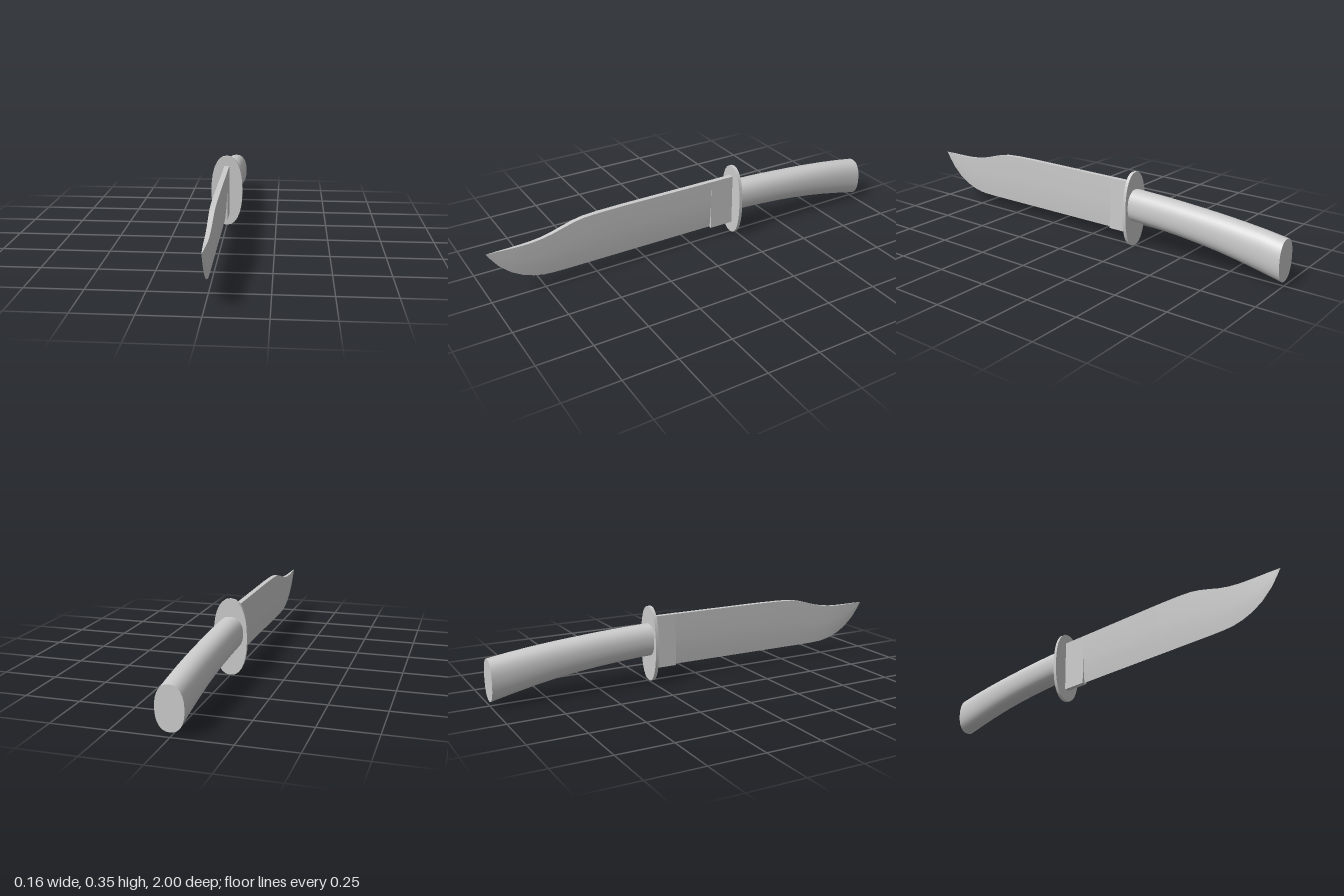
import * as THREE from 'three';
import { toCreasedNormals } from 'three/addons/utils/BufferGeometryUtils.js';

const material = new THREE.MeshStandardMaterial({ color: 0xcccccc });

// Skin rings of [x, y, z] (counter-clockwise seen from +z, ordered by rising z) and cap both ends
function loft(rings, crease) {
  const n = rings[0].length, pos = [], idx = [];
  rings.forEach((ring) => ring.forEach((p) => pos.push(...p)));
  for (let i = 0; i < rings.length - 1; i++) {
    for (let j = 0; j < n; j++) {
      const a = i * n + j, b = i * n + (j + 1) % n;
      idx.push(a, b, b + n, a, b + n, a + n);
    }
  }
  const last = (rings.length - 1) * n;
  [0, last].forEach((start) => {
    const ring = rings[start / n];
    const centre = pos.length / 3;
    for (let k = 0; k < 3; k++) pos.push(ring.reduce((s, p) => s + p[k], 0) / n);
    for (let j = 0; j < n; j++) {
      const a = start + j, b = start + (j + 1) % n;
      if (start === 0) idx.push(centre, b, a);
      else idx.push(centre, a, b);
    }
  });
  const geo = new THREE.BufferGeometry();
  geo.setAttribute('position', new THREE.Float32BufferAttribute(pos, 3));
  geo.setIndex(idx);
  return toCreasedNormals(geo, crease);
}

// Superellipse ring at depth z
function oval(rx, bottom, top, z, power, sides) {
  const ring = [];
  for (let i = 0; i < sides; i++) {
    const a = (i / sides) * Math.PI * 2;
    const c = Math.cos(a), s = Math.sin(a), e = 2 / power;
    ring.push([
      rx * Math.sign(c) * Math.abs(c) ** e,
      (bottom + top) / 2 + ((top - bottom) / 2) * Math.sign(s) * Math.abs(s) ** e,
      z,
    ]);
  }
  return ring;
}

// Blade section: sharp edge below, bulging sides, flat spine on top
function bladeRing([z, bottom, top, half]) {
  const side = [[0.25, 0.55], [0.55, 0.9], [1, 1]];
  const at = (sign) => ([t, w]) => [sign * w * half, bottom + t * (top - bottom), z];
  return [[0, bottom, z], ...side.map(at(1)), ...side.map(at(-1)).reverse()];
}

export function createModel() {
  const group = new THREE.Group();
  const add = (name, geometry) => {
    const mesh = new THREE.Mesh(geometry, material);
    mesh.name = name;
    group.add(mesh);
    return mesh;
  };

  // Clipped-point blade: z, edge height, spine height, half thickness
  const stations = [
    [-0.235, 0.06, 0.305, 0.012], [0.36, 0.06, 0.305, 0.012],
    [0.48, 0.06, 0.303, 0.012], [0.55, 0.06, 0.299, 0.0115],
    [0.6, 0.06, 0.29, 0.011], [0.65, 0.06, 0.276, 0.0105],
    [0.7, 0.061, 0.261, 0.01], [0.75, 0.064, 0.25, 0.0095],
    [0.8, 0.075, 0.244, 0.009], [0.85, 0.094, 0.242, 0.008],
    [0.9, 0.124, 0.242, 0.006], [0.95, 0.17, 0.243, 0.0035],
    [0.98, 0.211, 0.243, 0.0015], [1, 0.2425, 0.243, 0.0003],
  ];
  add('blade', loft(stations.map(bladeRing), 0.4));

  // Unsharpened block where the blade meets the guard
  const base = add('bladeBase', new THREE.BoxGeometry(0.0244, 0.248, 0.125));
  base.position.set(0, 0.181, -0.1725);

  // Oval guard plate
  add('guard', loft([-0.246, -0.23].map((z) => oval(0.078, 0, 0.355, z, 2.3, 28)), 0.7));

  // Grip drooping and deepening toward the butt: z, underside, top
  const grip = [
    [-1, 0.02, 0.209], [-0.9, 0.043, 0.224], [-0.8, 0.064, 0.236],
    [-0.7, 0.082, 0.246], [-0.6, 0.096, 0.254], [-0.5, 0.107, 0.261],
    [-0.4, 0.115, 0.267], [-0.3, 0.121, 0.271], [-0.24, 0.123, 0.273],
  ];
  add('handle', loft(grip.map(([z, lo, hi]) => oval(0.06, lo, hi, z, 2.3, 32)), 0.8));

  return group;
}
